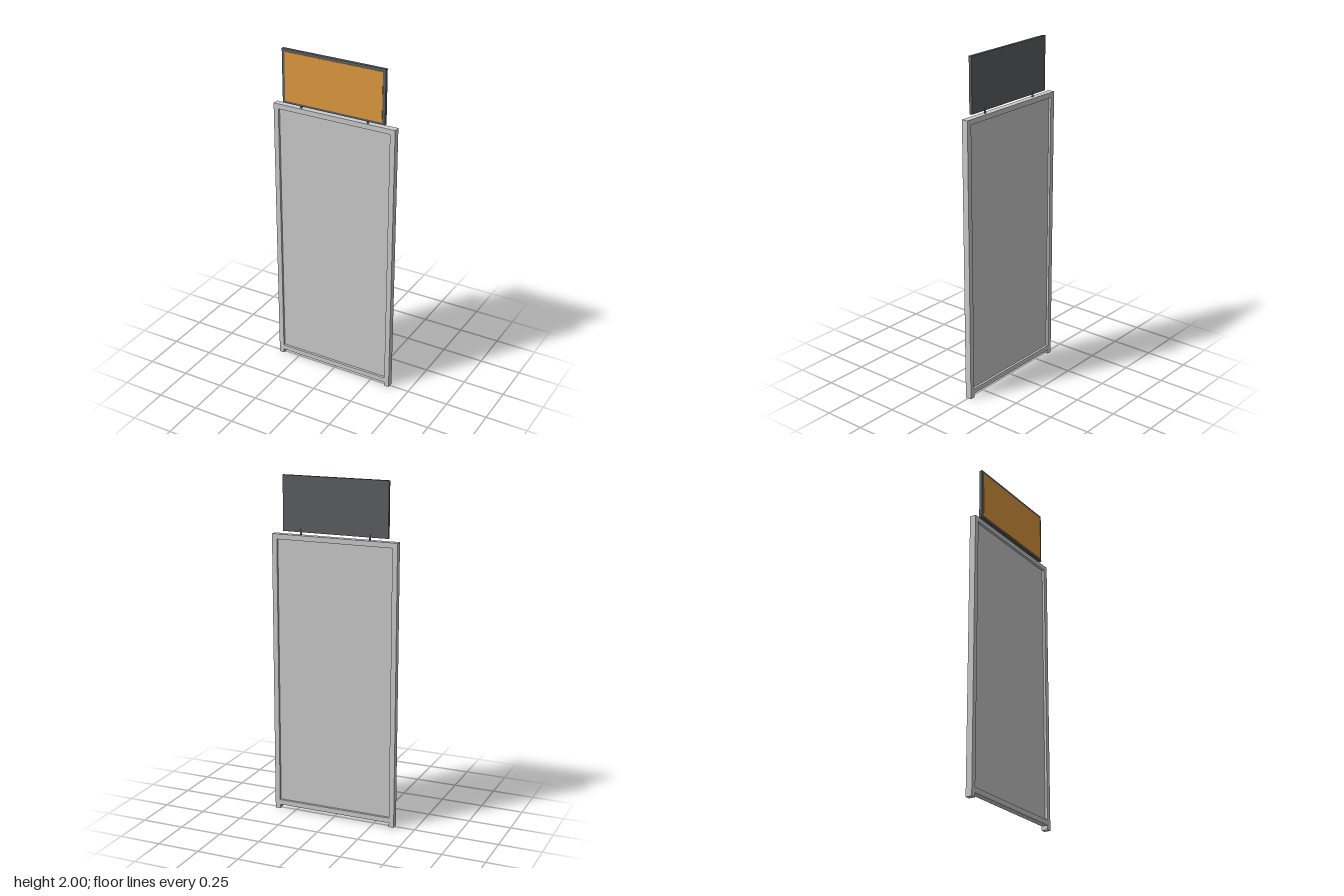
import * as THREE from 'three';

const grey = new THREE.MeshStandardMaterial({ color: 0xcccccc });
const dark = new THREE.MeshStandardMaterial({ color: 0x5c5f63 });
const orange = new THREE.MeshStandardMaterial({ color: 0xe09a40 });

export function createModel() {
  const model = new THREE.Group();
  const add = (name, geometry, material, x, y, z) => {
    const mesh = new THREE.Mesh(geometry, material);
    mesh.name = name;
    mesh.position.set(x, y, z);
    model.add(mesh);
  };
  // Box given by its lower and upper corners
  const box = (name, material, [x0, y0, z0], [x1, y1, z1]) =>
    add(name, new THREE.BoxGeometry(x1 - x0, y1 - y0, z1 - z0), material,
      (x0 + x1) / 2, (y0 + y1) / 2, (z0 + z1) / 2);

  // Board frame: one outline with legs at the bottom and a window for the panel
  const w = 0.379, inner = 0.349, top = 1.667, back = -0.02, front = 0.018;
  const outline = new THREE.Shape([
    [-w, 0], [-inner, 0], [-inner, 0.025], [inner, 0.025],
    [inner, 0], [w, 0], [w, top], [-w, top],
  ].map(([x, y]) => new THREE.Vector2(x, y)));
  outline.holes.push(new THREE.Path([
    [-inner, 0.055], [-inner, 1.637], [inner, 1.637], [inner, 0.055],
  ].map(([x, y]) => new THREE.Vector2(x, y))));
  add('boardFrame', new THREE.ExtrudeGeometry(outline, { depth: front - back, bevelEnabled: false }),
    grey, 0, 0, back);

  // Recessed board panel
  box('boardPanel', grey, [-inner, 0.055, -0.006], [inner, 1.637, 0.004]);

  // Header sign with a coloured face
  box('signFrame', dark, [-0.318, 1.683, 0], [0.318, 2, 0.018]);
  box('signFace', orange, [-0.301, 1.696, 0.016], [0.301, 1.984, 0.02]);

  // Pins carrying the sign
  for (const [name, x] of [['rightPin', -0.208], ['leftPin', 0.208]]) {
    add(name, new THREE.CylinderGeometry(0.006, 0.006, 0.04, 16), dark, x, 1.68, 0.003);
  }

  return model;
}
